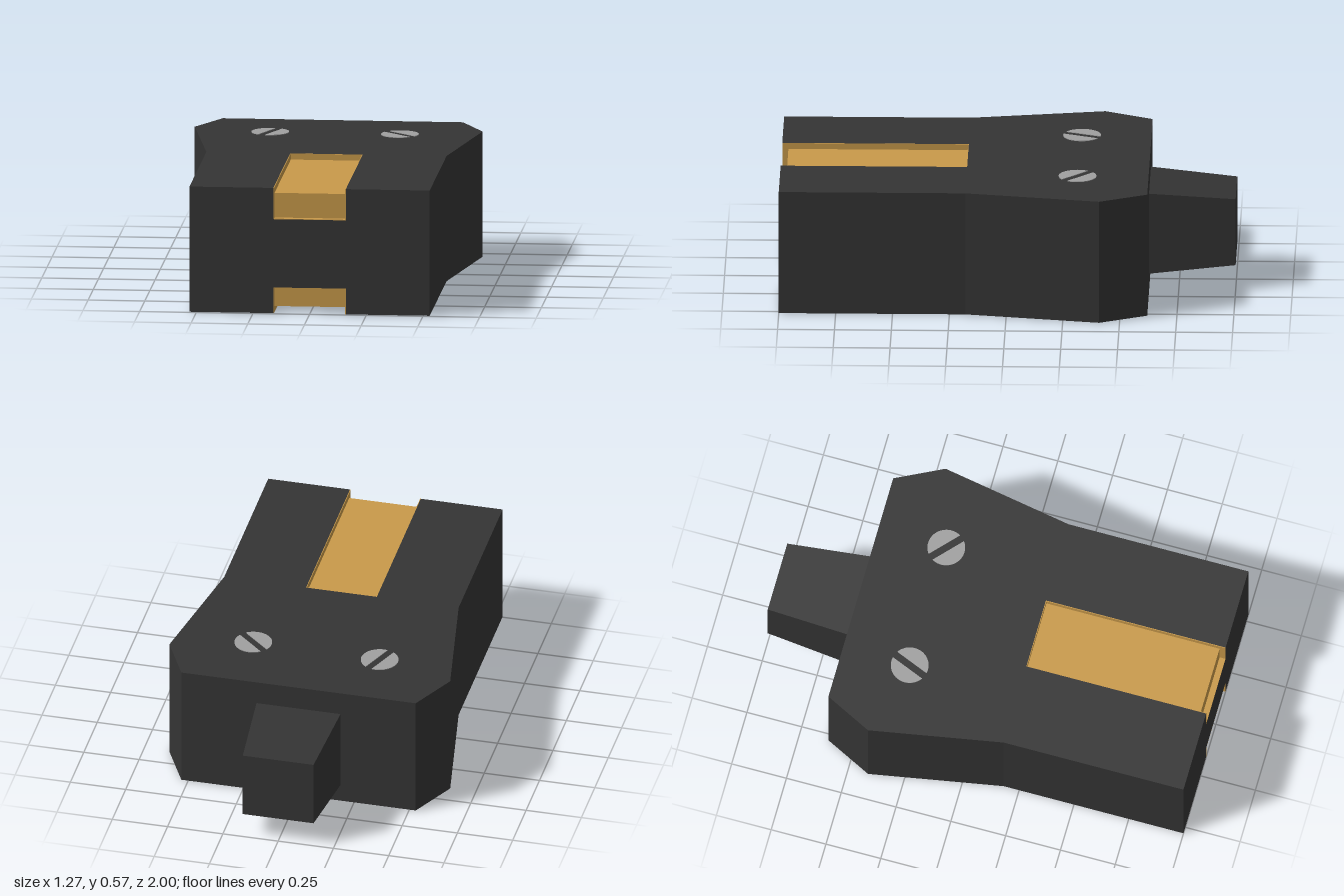
import * as THREE from 'three';

const darkPlastic = new THREE.MeshStandardMaterial({ color: 0x343434 });
darkPlastic.name = 'darkPlastic';
const brass = new THREE.MeshStandardMaterial({ color: 0xc99a4a });
brass.name = 'brass';
const steel = new THREE.MeshStandardMaterial({ color: 0xa0a0a0 });
steel.name = 'steel';

const HEIGHT = 0.56, SLOT = 0.16, SLOT_BACK = 0.18, FRONT = 1, DEPTH = 0.03;

function add(parent, name, geometry, material) {
  const mesh = new THREE.Mesh(geometry, material);
  mesh.name = name;
  parent.add(mesh);
  return mesh;
}

// Upright prism from a plan outline given as [x, z] pairs
function prism(points, y0, y1) {
  const shape = new THREE.Shape(points.map(([x, z]) => new THREE.Vector2(x, -z)));
  const geometry = new THREE.ExtrudeGeometry(shape, { depth: y1 - y0, bevelEnabled: false });
  return geometry.rotateX(-Math.PI / 2).translate(0, y0, 0);
}

// Housing plan, with an optional notch cut into the front edge back to notchZ
function housingPlan(notchZ) {
  const side = [[0.53, FRONT], [0.53, SLOT_BACK], [0.635, -0.41], [0.53, -0.62]];
  const mirrored = side.map(([x, z]) => [-x, z]).reverse();
  const notch = notchZ === undefined ? [] :
    [[-SLOT, FRONT], [-SLOT, notchZ], [SLOT, notchZ], [SLOT, FRONT]];
  return [...side, ...mirrored, ...notch];
}

// Box given by its limits
function box(x0, x1, y0, y1, z0, z1) {
  return new THREE.BoxGeometry(x1 - x0, Math.abs(y1 - y0), z1 - z0)
    .translate((x0 + x1) / 2, (y0 + y1) / 2, (z0 + z1) / 2);
}

// Brass lining of one contact channel; depths are measured inward from the face
function contact(name, isTop, reach) {
  const group = new THREE.Group();
  group.name = name;
  const Y = d => (isTop ? HEIGHT - d : d);
  const t = 0.003, f = DEPTH;
  const plate = (part, x0, x1, d0, d1, z0, z1) =>
    add(group, part, box(x0, x1, Y(d0), Y(d1), z0, z1), brass);
  plate('contactStrip', -SLOT, SLOT, f - t, f + t, SLOT_BACK, FRONT - f + t);
  plate('contactFront', -SLOT, SLOT, f, reach, FRONT - f - t, FRONT - f + t);
  plate('contactLedge', -SLOT, SLOT, reach - t, reach, FRONT - f, FRONT);
  plate('contactBackWall', -SLOT, SLOT, 0, f, SLOT_BACK, SLOT_BACK + t);
  for (const s of [-1, 1]) {
    const x0 = s < 0 ? -SLOT : SLOT - t;
    plate('channelWall', x0, x0 + t, 0, f, SLOT_BACK, FRONT);
    plate('notchWall', x0, x0 + t, f, reach, FRONT - f, FRONT);
  }
  return group;
}

// Screw head: two disc segments either side of a driver slot
function screw(x, z, angle, isTop) {
  const group = new THREE.Group();
  group.name = 'screw';
  const radius = 0.083, a = Math.asin(0.016 / radius);
  const shape = new THREE.Shape();
  shape.absarc(0, 0, radius, a, Math.PI - a, false);
  shape.closePath();
  for (const turn of [0, Math.PI]) {
    const geometry = new THREE.ExtrudeGeometry(shape, { depth: 0.006, bevelEnabled: false, curveSegments: 16 });
    geometry.rotateZ(angle + turn).rotateX(-Math.PI / 2);
    add(group, 'screwHeadHalf', geometry, steel);
  }
  group.position.set(x, isTop ? HEIGHT - 0.003 : -0.003, z);
  return group;
}

export function createModel() {
  const model = new THREE.Group();
  model.name = 'plug';

  // Housing in level layers, notched where the contacts sit
  const housing = new THREE.Group();
  housing.name = 'housing';
  const layers = [
    [0, DEPTH, SLOT_BACK],
    [DEPTH, 0.115, FRONT - DEPTH],
    [0.115, 0.42, undefined],
    [0.42, HEIGHT - DEPTH, FRONT - DEPTH],
    [HEIGHT - DEPTH, HEIGHT, SLOT_BACK],
  ];
  for (const [y0, y1, notchZ] of layers) {
    add(housing, 'housingLayer', prism(housingPlan(notchZ), y0, y1), darkPlastic);
  }
  model.add(housing);

  // Tapered cable stub at the back
  const stub = new THREE.BoxGeometry(0.38, 0.37, 0.38);
  const p = stub.attributes.position;
  for (let i = 0; i < p.count; i++) {
    if (p.getZ(i) < 0) p.setXY(i, p.getX(i) * 0.16 / 0.19, p.getY(i) * 0.305 / 0.37);
  }
  stub.computeVertexNormals();
  add(model, 'cableStub', stub, darkPlastic).position.set(0, 0.267, -0.81);

  // Contacts on both faces
  model.add(contact('topContact', true, 0.14), contact('bottomContact', false, 0.115));

  // Screws on both faces
  for (const isTop of [true, false]) {
    model.add(screw(-0.293, -0.315, 1.18, isTop), screw(0.28, -0.308, -0.74, isTop));
  }
  return model;
}
